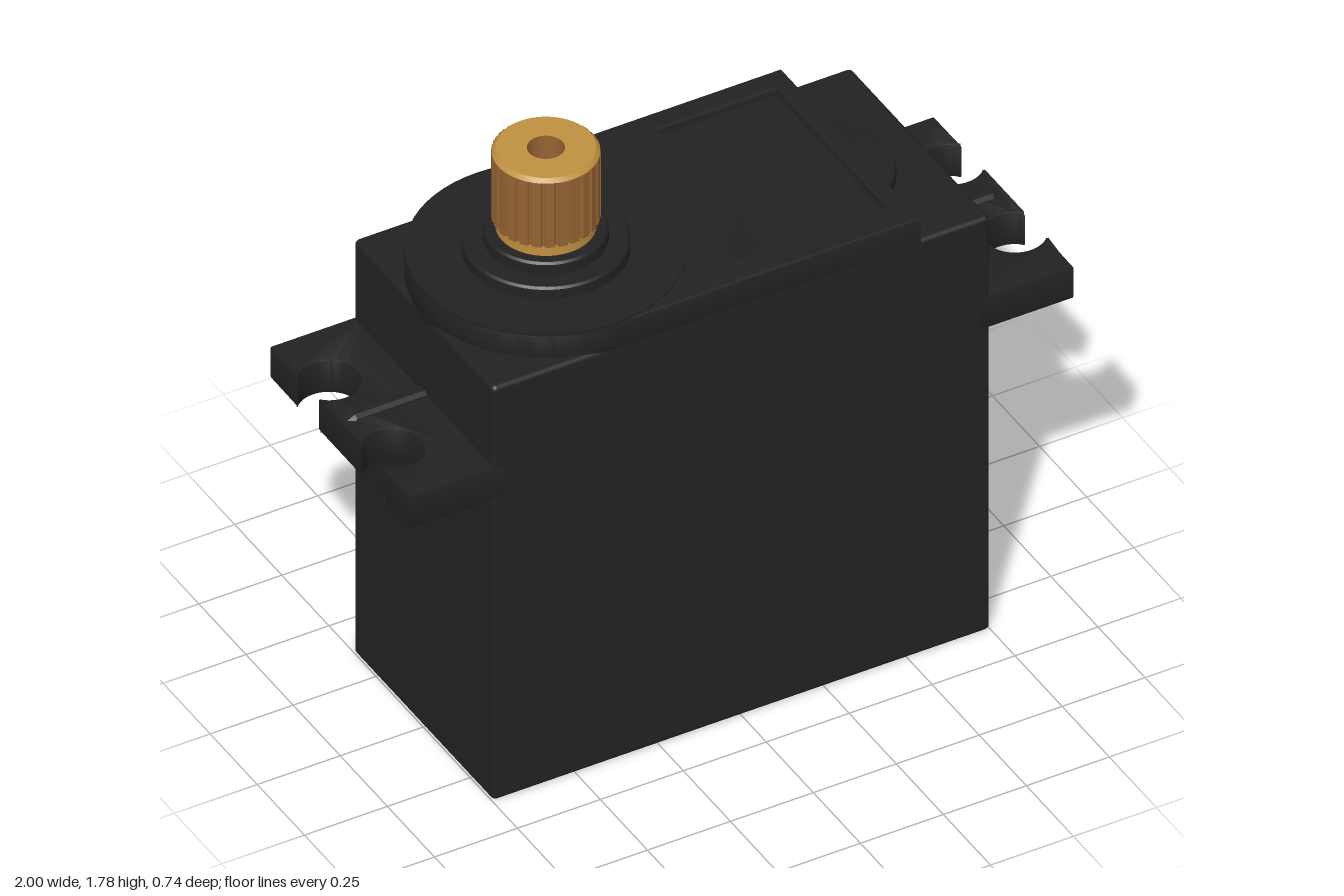
import * as THREE from 'three';
import { toCreasedNormals } from 'three/addons/utils/BufferGeometryUtils.js';
import { RoundedBoxGeometry } from 'three/addons/geometries/RoundedBoxGeometry.js';

const HALF_DEPTH = 0.371;
const SHAFT_X = -0.38;

function makeMaterial(name, color) {
  const m = new THREE.MeshStandardMaterial({ color });
  m.name = name;
  return m;
}

function add(parent, name, geometry, material) {
  const mesh = new THREE.Mesh(geometry, material);
  mesh.name = name;
  parent.add(mesh);
  return mesh;
}

// Extrudes a plan outline (shape y = -z) upward from y0 to y1, keeping its outer size.
function slab(shape, y0, y1, bevel = 0) {
  const g = new THREE.ExtrudeGeometry(shape, {
    depth: y1 - y0 - 2 * bevel, curveSegments: 40, bevelEnabled: bevel > 0,
    bevelSize: bevel, bevelThickness: bevel, bevelOffset: -bevel, bevelSegments: 2,
  });
  g.rotateX(-Math.PI / 2);
  g.translate(0, y0 + bevel, 0);
  return toCreasedNormals(g, 0.5);
}

function lathe(points, segments = 64) {
  const g = new THREE.LatheGeometry(points.map(([r, y]) => new THREE.Vector2(r, y)), segments);
  return toCreasedNormals(g, 0.5);
}

// Rounded-end lid with a rectangular label recess
function lidShape() {
  const s = new THREE.Shape();
  s.moveTo(SHAFT_X, -HALF_DEPTH);
  s.lineTo(0.54, -HALF_DEPTH);
  s.lineTo(0.54, HALF_DEPTH);
  s.lineTo(SHAFT_X, HALF_DEPTH);
  s.absarc(SHAFT_X, 0, HALF_DEPTH, Math.PI / 2, Math.PI * 1.5, false);
  const h = new THREE.Path();
  h.moveTo(0.13, -0.285);
  h.lineTo(0.13, 0.3);
  h.lineTo(0.485, 0.3);
  h.lineTo(0.485, -0.285);
  h.closePath();
  s.holes.push(h);
  return s;
}

// Mounting ear with two round slots open to the outer edge
function earShape() {
  const r = 0.083, cx = 0.938, open = Math.acos((1 - cx) / r);
  const s = new THREE.Shape();
  s.moveTo(0.72, -HALF_DEPTH);
  s.lineTo(1, -HALF_DEPTH);
  for (const z of [-0.168, 0.168]) s.absarc(cx, z, r, -open, open, true);
  s.lineTo(1, HALF_DEPTH);
  s.lineTo(0.72, HALF_DEPTH);
  s.closePath();
  return s;
}

// Toothed ring for the output shaft
function splineShape(teeth, outer, inner, bore) {
  const s = new THREE.Shape();
  const step = (Math.PI * 2) / teeth;
  for (let i = 0; i < teeth; i++) {
    [[-0.32, outer], [0.32, outer], [0.42, inner], [0.58, inner]].forEach(([t, r], k) => {
      const a = (i + t) * step;
      const x = r * Math.cos(a), y = r * Math.sin(a);
      if (i === 0 && k === 0) s.moveTo(x, y);
      else s.lineTo(x, y);
    });
  }
  s.closePath();
  const hole = new THREE.Path();
  hole.absarc(0, 0, bore, 0, Math.PI * 2, true);
  s.holes.push(hole);
  return s;
}

export function createModel() {
  const black = makeMaterial('black plastic', 0x222222);
  const gold = makeMaterial('brass', 0xbf9040);
  const brown = makeMaterial('dark brass', 0x946332);

  const model = new THREE.Group();
  model.name = 'servoMotor';

  // Case
  const body = add(model, 'case', new RoundedBoxGeometry(1.5, 1.367, HALF_DEPTH * 2, 3, 0.015), black);
  body.position.y = 1.367 / 2;

  // Lid, recess floor and half-round bump
  add(model, 'lid', slab(lidShape(), 1.35, 1.441, 0.008), black);
  const floor = add(model, 'recessPanel', new THREE.BoxGeometry(0.38, 0.06, 0.61), black);
  floor.position.set(0.3075, 1.39, -0.0075);
  const bump = new THREE.Shape();
  bump.absarc(0.438, 0, 0.207, -1.3, 1.3, false);
  bump.closePath();
  add(model, 'endBump', slab(bump, 1.35, 1.404, 0.012), black);

  // Mounting ears with a centre rib
  for (const side of [1, -1]) {
    const ear = new THREE.Group();
    ear.name = side > 0 ? 'leftEar' : 'rightEar';
    add(ear, 'earPlate', slab(earShape(), 1.0, 1.108, 0.008), black);
    const profile = new THREE.Shape([[0.72, 1.06], [0.98, 1.06], [0.985, 1.108], [0.962, 1.121], [0.72, 1.121]]
      .map(([x, y]) => new THREE.Vector2(x, y)));
    const rib = new THREE.ExtrudeGeometry(profile, {
      depth: 0.02, bevelSize: 0.01, bevelThickness: 0.01, bevelOffset: -0.01, bevelSegments: 1,
    });
    rib.translate(0, 0, -0.01);
    add(ear, 'earRib', rib, black);
    if (side < 0) ear.rotation.y = Math.PI;
    model.add(ear);
  }

  // Shaft assembly, turned about the output axis
  const shaft = new THREE.Group();
  shaft.name = 'outputShaft';
  shaft.position.x = SHAFT_X;
  model.add(shaft);
  add(shaft, 'bearingBoss', lathe([
    [0.37, 1.43], [0.37, 1.445], [0.222, 1.445], [0.222, 1.476], [0.216, 1.482],
    [0.165, 1.482], [0.165, 1.514], [0.159, 1.52], [0, 1.52],
  ]), black);
  add(shaft, 'shaftCollar', lathe([[0.133, 1.515], [0.133, 1.562]]), gold);
  add(shaft, 'shaftSpline', slab(splineShape(25, 0.144, 0.135, 0.06), 1.555, 1.766), brown);
  add(shaft, 'shaftCap', lathe([[0.142, 1.766], [0.132, 1.777], [0.05, 1.777]]), gold);
  add(shaft, 'shaftBore', lathe([[0.05, 1.777], [0.05, 1.515]], 24), brown);

  return model;
}
